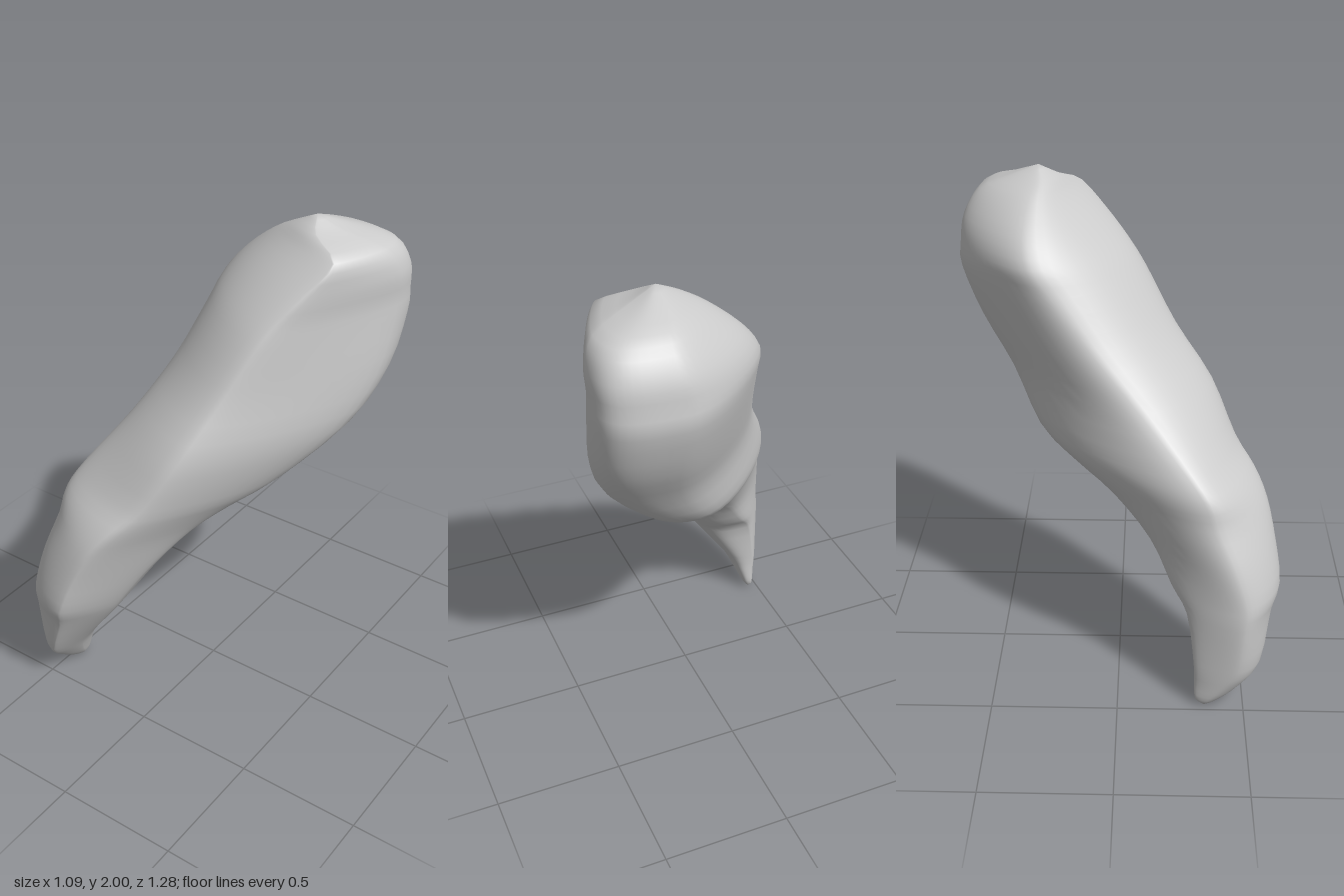
import * as THREE from 'three';

const TIP = new THREE.Vector3(-0.465, 0, 0.345);
const CROWN = new THREE.Vector3(0.24, 2, -0.32);

// Horizontal sections: height, then x and z of the left edge, front ridge,
// right edge and back edge
const SECTIONS = [
  [0.03, -0.488, 0.36, -0.465, 0.40, -0.44, 0.35, -0.465, 0.31],
  [0.1, -0.51, 0.41, -0.455, 0.485, -0.41, 0.39, -0.46, 0.305],
  [0.2, -0.53, 0.46, -0.42, 0.565, -0.36, 0.42, -0.46, 0.30],
  [0.4, -0.545, 0.48, -0.34, 0.605, -0.22, 0.41, -0.42, 0.27],
  [0.5, -0.54, 0.48, -0.31, 0.635, -0.16, 0.39, -0.35, 0.205],
  [0.65, -0.52, 0.43, -0.26, 0.615, -0.07, 0.32, -0.25, 0.12],
  [0.8, -0.485, 0.36, -0.19, 0.58, 0.04, 0.20, -0.12, -0.04],
  [0.9, -0.475, 0.33, -0.12, 0.53, 0.15, 0.08, 0, -0.205],
  [1.0, -0.43, 0.26, -0.04, 0.455, 0.275, -0.05, 0.08, -0.33],
  [1.2, -0.31, 0.08, 0.06, 0.36, 0.445, -0.25, 0.20, -0.44],
  [1.4, -0.225, -0.10, 0.14, 0.215, 0.52, -0.38, 0.25, -0.56],
  [1.6, -0.17, -0.25, 0.22, 0.10, 0.54, -0.45, 0.25, -0.635],
  [1.7, -0.145, -0.32, 0.27, 0.03, 0.54, -0.46, 0.25, -0.635],
  [1.8, -0.07, -0.34, 0.34, -0.06, 0.54, -0.44, 0.27, -0.62],
  [1.9, 0.05, -0.33, 0.40, -0.165, 0.495, -0.40, 0.28, -0.555],
  [1.955, 0.145, -0.315, 0.28, -0.24, 0.345, -0.34, 0.25, -0.44],
];
// Fullness of the loop after each edge: front, outer side, underside, inner side
const FULLNESS = [0.42, 0.2, 0.8, 0.32];
const QUARTER = 12;
const SIDES = QUARTER * 4;
const STEPS = 51;

// Quarter of a loop, square to the axes at both ends; the pull point is the
// corner where the two end tangents meet
function quarterCurve(from, to, q) {
  const pull = q % 2 === 0
    ? new THREE.Vector3(from.x, from.y, to.z)
    : new THREE.Vector3(to.x, from.y, from.z);
  return new THREE.CubicBezierCurve3(
    from, from.clone().lerp(pull, FULLNESS[q]), to.clone().lerp(pull, FULLNESS[q]), to);
}

export function createModel() {
  // Four long edges run from the tip to the crown
  const edges = [1, 3, 5, 7].map((c) => new THREE.CatmullRomCurve3(
    [TIP, ...SECTIONS.map((s) => new THREE.Vector3(s[c], s[0], s[c + 1])), CROWN],
    false, 'catmullrom'));

  // A rounded loop through the four edges at each step
  const points = [];
  for (let i = 1; i < STEPS; i++) {
    const corners = edges.map((edge) => edge.getPoint(i / STEPS));
    corners.forEach((corner, q) => {
      const curve = quarterCurve(corner, corners[(q + 1) % 4], q);
      points.push(...curve.getPoints(QUARTER).slice(0, QUARTER));
    });
  }
  const top = points.length - SIDES;
  const tip = points.push(TIP) - 1;
  const crown = points.push(CROWN) - 1;

  // Skin between the loops, closed by a fan at each end
  const index = [];
  for (let j = 0; j < SIDES; j++) {
    const k = (j + 1) % SIDES;
    for (let i = 0; i < top; i += SIDES) {
      index.push(i + j, i + k, i + SIDES + j, i + k, i + SIDES + k, i + SIDES + j);
    }
    index.push(tip, k, j, top + j, top + k, crown);
  }
  const geometry = new THREE.BufferGeometry().setFromPoints(points);
  geometry.setIndex(index);
  geometry.computeVertexNormals();

  const horn = new THREE.Mesh(geometry, new THREE.MeshStandardMaterial({ color: 0xcccccc }));
  horn.name = 'curvedHorn';
  const group = new THREE.Group();
  group.name = 'horn';
  group.add(horn);
  return group;
}
